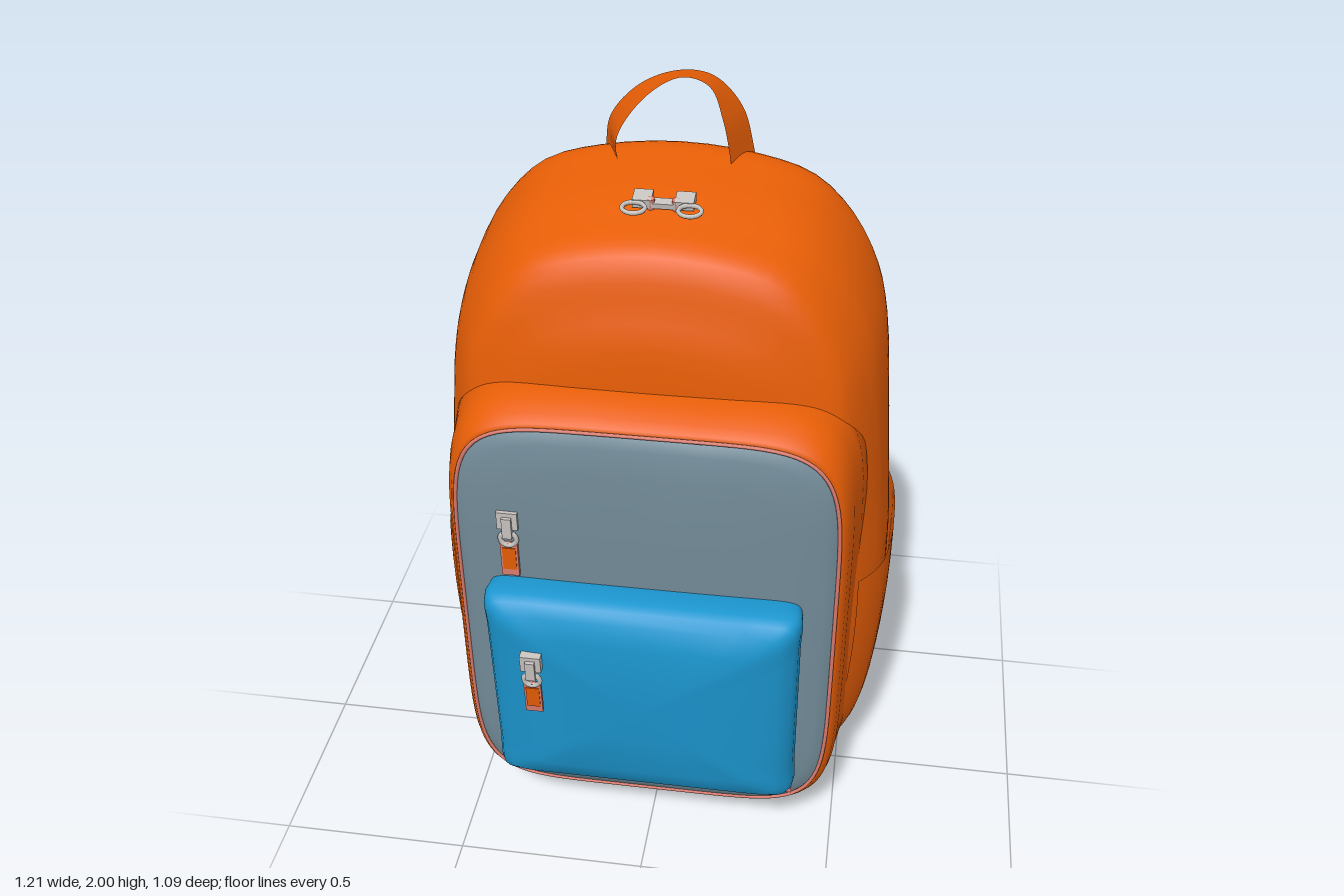
import * as THREE from 'three';

const mat = (name, color, side = THREE.FrontSide) => {
  const m = new THREE.MeshStandardMaterial({ color, side });
  m.name = name;
  return m;
};
const V = (x, y, z) => new THREE.Vector3(x, y, z);

// Skin over rings of points; closed rings run anticlockwise seen from +z, back to front
function loft(rings, closed = true) {
  const n = rings[0].length, pos = [], idx = [];
  rings.forEach(r => r.forEach(p => pos.push(p.x, p.y, p.z)));
  for (let i = 0; i < rings.length - 1; i++) {
    for (let j = 0; j < (closed ? n : n - 1); j++) {
      const k = (j + 1) % n, a = i * n + j, b = i * n + k;
      idx.push(a, b, a + n, b, b + n, a + n);
    }
  }
  if (closed) {
    [0, rings.length - 1].forEach(i => {
      const c = rings[i].reduce((s, p) => s.add(p), V(0, 0, 0)).divideScalar(n);
      const ci = pos.length / 3;
      pos.push(c.x, c.y, c.z);
      for (let j = 0; j < n; j++) {
        const a = i * n + j, b = i * n + (j + 1) % n;
        if (i) idx.push(a, b, ci); else idx.push(b, a, ci);
      }
    });
  }
  const g = new THREE.BufferGeometry();
  g.setAttribute('position', new THREE.Float32BufferAttribute(pos, 3));
  g.setIndex(idx);
  g.computeVertexNormals();
  return g;
}

// Rounded rectangle ring whose plane leans forward by tilt; pinch draws the sides in
function rectRing(z, hx, hy, cy, power, tilt, pinch = 0) {
  const f = v => Math.sign(v) * Math.abs(v) ** (2 / power);
  return Array.from({ length: 120 }, (_, i) => {
    const a = (i + .5) / 120 * Math.PI * 2, u = f(Math.cos(a)), v = f(Math.sin(a));
    return V(hx * u * (1 - pinch * (1 - v * v)), cy + hy * v, z + tilt * hy * v);
  });
}

// Arch outline of the bag, from bottom centre up the +x side and back down
const half = [[0, 0], [.2, .005], [.35, .035], [.45, .09], [.53, .2], [.565, .32], [.588, .55], [.59, .8],
  [.575, 1], [.56, 1.2], [.54, 1.4], [.51, 1.52], [.44, 1.65], [.34, 1.745], [.2, 1.79], [0, 1.81]];
const outline = new THREE.CatmullRomCurve3(
  [...half, ...half.slice(1, -1).reverse().map(([x, y]) => [-x, y])].map(([x, y]) => V(x, y, 0)), true);

// Depth sections: z, width scale, bottom y, top y
const sections = [
  [-.392, .2, .65, 1.05], [-.388, .55, .4, 1.3], [-.372, .77, .22, 1.5], [-.34, .89, .1, 1.68],
  [-.28, .955, .03, 1.77], [-.2, .99, 0, 1.81], [-.1, 1, .005, 1.795], [0, .99, .015, 1.775],
  [.1, .96, .035, 1.745], [.21, .87, .1, 1.7], [.25, .78, .17, 1.58], [.278, .55, .3, 1.44], [.285, .2, .65, 1.1]];
const depth = new THREE.CubicInterpolant(sections.map((_, i) => i), sections.flat(), 4);
function bodyPoint(u, s) {
  const [z, sx, yb, yt] = depth.evaluate(s), p = outline.getPoint(u % 1);
  const y = yb + p.y / 1.81 * (yt - yb);
  // the back leans slightly forward towards the top
  const lean = Math.max(0, y - .8) * .03 * Math.min(1, Math.max(0, (-z - .2) / .12));
  return V(p.x * sx, y, z + lean);
}

// Flat band between two smooth edges
function ribbon(edgeA, edgeB, n = 48) {
  const a = new THREE.CatmullRomCurve3(edgeA.map(p => V(...p))).getPoints(n);
  const b = new THREE.CatmullRomCurve3(edgeB.map(p => V(...p))).getPoints(n);
  return loft(a.map((p, i) => [p, b[i]]), false);
}

export function createModel() {
  const root = new THREE.Group();
  root.name = 'backpack';
  const orange = mat('orange fabric', 0xea5f06), band = mat('orange webbing', 0xea5f06, THREE.DoubleSide);
  const blue = mat('blue fabric', 0x1c97d0), grey = mat('grey fabric', 0x738c99);
  const coral = mat('coral piping', 0xdd7d70), metal = mat('zip metal', 0xc8c4c0);
  const add = (name, geo, m, parent = root, x = 0, y = 0, z = 0) => {
    const mesh = new THREE.Mesh(geo, m);
    mesh.name = name;
    mesh.position.set(x, y, z);
    parent.add(mesh);
    return mesh;
  };

  // Main bag
  const bodyRings = [];
  for (let i = 0; i <= 48; i++) {
    const s = i / 48 * (sections.length - 1);
    bodyRings.push(Array.from({ length: 90 }, (_, j) => bodyPoint(j / 90, s)));
  }
  add('mainBody', loft(bodyRings), orange);

  // Front compartment, its grey face and the piping between them
  add('frontCompartment', loft([[.14, .525, .655], [.2, .514, .653], [.25, .506, .65], [.29, .502, .64],
    [.33, .494, .622], [.352, .484, .606], [.358, .474, .597]]
    .map(([z, x, y]) => rectRing(z, x, y, .73, 6, .045))), orange);
  add('frontPanel', loft([[.352, .472, .595], [.362, .466, .589], [.374, .44, .56], [.386, .37, .48],
    [.389, .22, .3], [.39, .08, .1]].map(([z, x, y]) => rectRing(z, x, y, .73, 6, .045))), grey);
  add('panelPiping', new THREE.TubeGeometry(
    new THREE.CatmullRomCurve3(rectRing(.36, .472, .595, .73, 6, .045), true), 160, .005, 6, true), coral);

  // Padded outer pocket with pointed corners, and a small tag under it
  add('outerPocket', loft([[.33, .39, .318], [.36, .398, .324], [.4, .402, .328], [.43, .398, .325],
    [.455, .386, .316], [.48, .355, .29], [.5, .28, .23], [.508, .12, .1]]
    .map(([z, x, y]) => rectRing(z, x, y, .5625, 18, .1, .035))), blue);
  add('pocketTag', new THREE.BoxGeometry(.06, .014, .008), coral, root, .36, .217, .366);

  // Side pockets and shoulder straps, once per side
  for (const side of [1, -1]) {
    const name = side > 0 ? 'left' : 'right';
    const rows = [];
    for (let i = 0; i <= 16; i++) {
      const k = i / 16, row = [];
      for (let j = 0; j <= 24; j++) {
        const w = j / 24, p = bodyPoint((3 + 4.05 * k) / 30, 2.4 + 6.5 * w);
        p.x += .003 + .012 * k * Math.sin(Math.PI * w) ** .5;
        p.y += k * Math.max(0, -p.z) * .15;
        p.x *= side;
        row.push(p);
      }
      rows.push(row);
    }
    add(name + 'SidePocket', loft(rows, false), band);

    const flip = ([x, y, z]) => [x * side, y, z];
    const inner = [[.28, 1.45, -.355], [.278, 1.38, -.375], [.275, 1.2, -.415], [.25, 1, -.46], [.255, .9, -.47],
      [.31, .75, -.472], [.38, .6, -.505], [.42, .49, -.54], [.42, .44, -.515], [.36, .41, -.375]];
    const outer = [[.33, 1.45, -.345], [.325, 1.38, -.368], [.315, 1.2, -.402], [.29, 1, -.446], [.29, .9, -.456],
      [.345, .75, -.458], [.43, .6, -.487], [.5, .49, -.518], [.48, .44, -.49], [.43, .41, -.37]];
    add(name + 'ShoulderStrap', ribbon(inner.map(flip), outer.map(flip)), band);
    add(name + 'StrapBuckle', new THREE.BoxGeometry(.05, .04, .018), orange, root, side * .271, .95, -.461);
  }

  // Carry handle
  add('carryHandle', ribbon(
    [[-.19, 1.77, -.23], [-.175, 1.86, -.225], [-.1, 1.945, -.222], [0, 1.985, -.22], [.08, 1.975, -.22],
      [.15, 1.9, -.225], [.185, 1.77, -.235]],
    [[-.14, 1.76, -.13], [-.14, 1.85, -.115], [-.07, 1.95, -.13], [.015, 2, -.13], [.08, 1.98, -.13],
      [.115, 1.9, -.12], [.14, 1.76, -.13]]), band);

  // Hanging zip pulls on the front panel and outer pocket
  const zipPull = (name, x, y, z, tilt) => {
    const g = new THREE.Group();
    g.name = name;
    g.position.set(x, y, z);
    g.rotation.x = tilt;
    root.add(g);
    add('slider', new THREE.BoxGeometry(.052, .05, .022), metal, g, 0, .067, 0);
    add('sliderBridge', new THREE.BoxGeometry(.024, .06, .02), metal, g, 0, .05, .01);
    add('pullRing', new THREE.TorusGeometry(.02, .007, 6, 16), metal, g, 0, .012, .008);
    add('pullTabEdge', new THREE.BoxGeometry(.044, .1, .01), coral, g, 0, -.052, .006);
    add('pullTab', new THREE.BoxGeometry(.034, .066, .015), orange, g, 0, -.048, .006);
  };
  zipPull('panelZipPull', -.333, 1, .398, .04);
  zipPull('pocketZipPull', -.264, .66, .52, .1);

  // Paired sliders with rings at the top opening
  const top = new THREE.Group();
  top.name = 'topZipSliders';
  top.position.set(0, 1.768, .06);
  top.rotation.x = .2;
  root.add(top);
  add('sliderLink', new THREE.BoxGeometry(.06, .014, .025), metal, top, 0, 0, .005);
  for (const s of [1, -1]) {
    add('topSlider', new THREE.BoxGeometry(.045, .022, .045), metal, top, s * .05, .004, -.005);
    add('topSliderPin', new THREE.CylinderGeometry(.01, .01, .03, 10), coral, top, s * .03, 0, .008);
    const ring = add('topRing', new THREE.TorusGeometry(.027, .006, 6, 20), metal, top, s * .066, .008, .038);
    ring.rotation.x = Math.PI / 2;
    ring.scale.y = .8;
  }
  return root;
}
